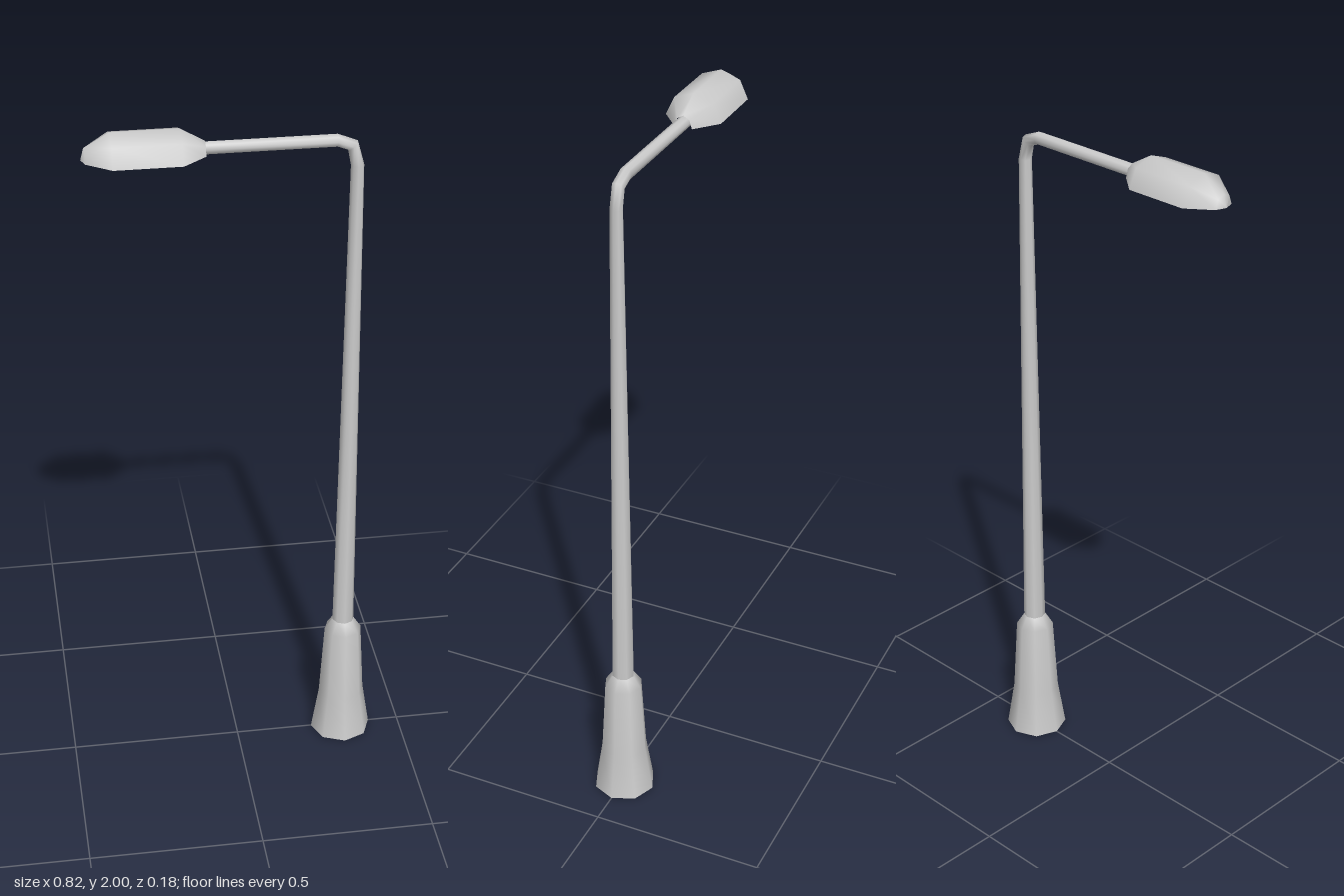
import * as THREE from 'three';

const material = new THREE.MeshStandardMaterial({ color: 0xcccccc, side: THREE.DoubleSide });

// Skin a list of equal-length cross-sections with a smooth surface
function loft(sections, closed) {
  const n = sections[0].length;
  const index = [];
  for (let i = 0; i < sections.length - 1; i++) {
    for (let j = 0; j < (closed ? n : n - 1); j++) {
      const k = (j + 1) % n;
      const a = i * n + j, b = i * n + k;
      index.push(a, a + n, b, b, a + n, b + n);
    }
  }
  const geometry = new THREE.BufferGeometry();
  geometry.setAttribute('position', new THREE.Float32BufferAttribute(sections.flat(2), 3));
  geometry.setIndex(index);
  geometry.computeVertexNormals();
  return geometry;
}

export function createModel() {
  const group = new THREE.Group();
  const add = (name, geometry) => {
    const mesh = new THREE.Mesh(geometry, material);
    mesh.name = name;
    group.add(mesh);
    return mesh;
  };
  const poleX = 0.32;

  // Flared octagonal base, open underneath
  const profile = [[0.09, 0], [0.068, 0.14], [0.055, 0.365], [0.032, 0.4]];
  add('base', new THREE.LatheGeometry(profile.map(p => new THREE.Vector2(...p)), 8)).position.x = poleX;

  // Tapered pole bending into the arm: x, y, radius, direction in degrees
  const path = [
    [poleX, 0.4, 0.032, 90],
    [poleX, 1.87, 0.018, 90],
    [0.306, 1.926, 0.018, 135],
    [0.265, 1.942, 0.018, 180],
    [-0.145, 1.942, 0.018, 180],
    [-0.145, 1.942, 0, 180],
  ];
  add('poleAndArm', loft(path.map(([x, y, r, deg]) => {
    const t = THREE.MathUtils.degToRad(deg);
    return Array.from({ length: 8 }, (_, j) => {
      const a = j * Math.PI / 4;
      const u = r * Math.cos(a);
      return [x + u * Math.sin(t), y - u * Math.cos(t), r * Math.sin(a)];
    });
  }), true));

  // Hollow lamp hood: x, half width, ridge height above the rim
  const rim = 1.928;
  const stations = [
    [-0.41, 0, 0],
    [-0.4, 0.03, 0.034],
    [-0.333, 0.08, 0.072],
    [-0.15, 0.08, 0.072],
    [-0.085, 0.025, 0.034],
  ];
  const across = [[1, 0], [0.7, 0.72], [0, 1], [-0.7, 0.72], [-1, 0]];
  add('lampHood', loft(stations.map(([x, w, h]) =>
    across.map(([z, y]) => [x, rim + y * h, z * w])), false));

  return group;
}
